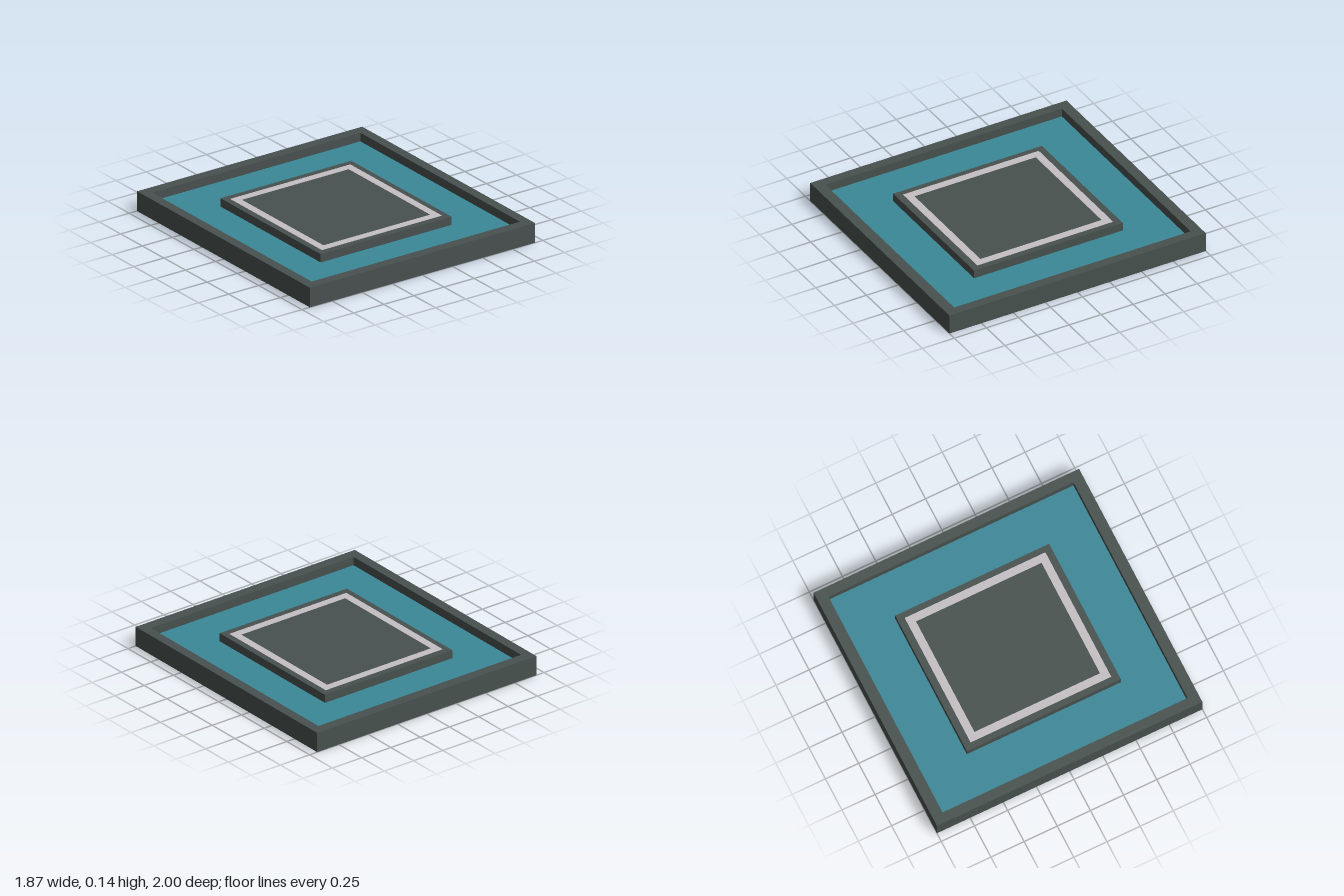
import * as THREE from 'three';

const slate = new THREE.MeshStandardMaterial({ name: 'slate grey', color: 0x48514f });
const teal = new THREE.MeshStandardMaterial({ name: 'teal', color: 0x3b8898 });
const pale = new THREE.MeshStandardMaterial({ name: 'pale grey', color: 0xc5c0c4 });

// Rectangular outline from half-width and half-depth
function rect(path, hx, hz) {
  path.moveTo(-hx, -hz).lineTo(hx, -hz).lineTo(hx, hz).lineTo(-hx, hz).closePath();
  return path;
}

// Upright slab between two heights, with an optional rectangular hole
function slab(name, material, outer, inner, y0, y1) {
  const shape = rect(new THREE.Shape(), ...outer);
  if (inner) shape.holes.push(rect(new THREE.Path(), ...inner));
  const geometry = new THREE.ExtrudeGeometry(shape, { depth: y1 - y0, bevelEnabled: false });
  geometry.rotateX(-Math.PI / 2).translate(0, y0, 0);
  const mesh = new THREE.Mesh(geometry, material);
  mesh.name = name;
  return mesh;
}

export function createModel() {
  const group = new THREE.Group();
  group.name = 'framedPanel';
  const height = 0.145;
  const block = [0.543, 0.58];
  group.add(
    // Outer rim, open above and below the recessed panel
    slab('outerFrame', slate, [0.935, 1], [0.865, 0.923], 0, height),
    // Thin panel at mid height, running from the rim to the block
    slab('recessedPanel', teal, [0.866, 0.924], block, 0.062, 0.082),
    // Central block, as tall as the rim
    slab('centreBlock', slate, block, null, 0, height - 0.002),
    // Pale border line on top of the block
    slab('borderStripe', pale, [0.499, 0.53], [0.443, 0.473], height - 0.002, height),
  );
  return group;
}
